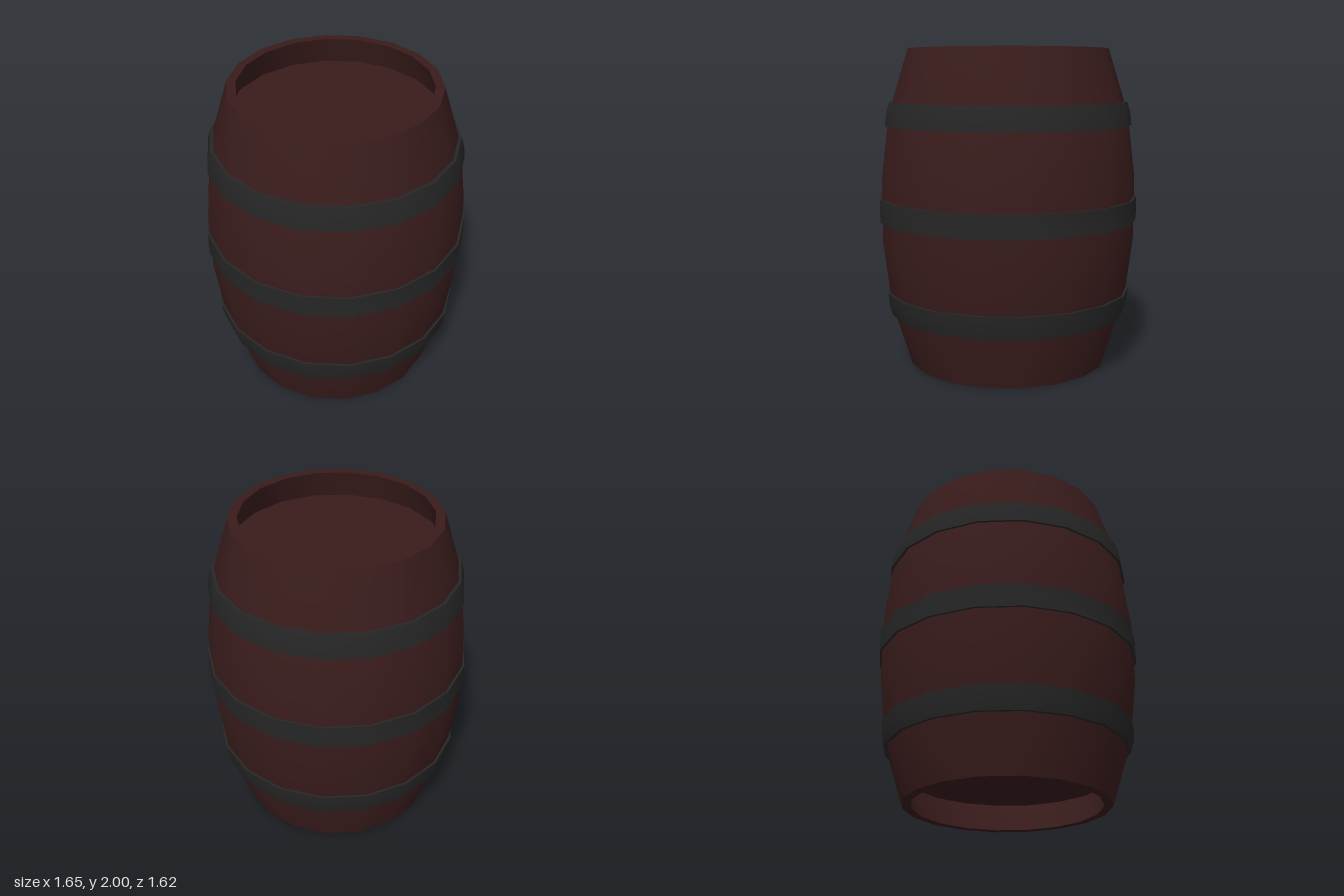
import * as THREE from 'three';
import { toCreasedNormals } from 'three/addons/utils/BufferGeometryUtils.js';

const SIDES = 18;
const HEIGHT = 2;

// Turn a [radius, y] profile (running upward on the outside) with a corner on the x axis
function turned(name, profile, material) {
  const points = profile.map(([r, y]) => new THREE.Vector2(r, y));
  const lathe = new THREE.LatheGeometry(points, SIDES, Math.PI / 2);
  const mesh = new THREE.Mesh(toCreasedNormals(lathe, 0.6), material);
  mesh.name = name;
  return mesh;
}

// Mirror a profile top to bottom, keeping its upward direction
const flipped = (profile) => profile.map(([r, y]) => [r, HEIGHT - y]).reverse();

export function createModel() {
  const wood = new THREE.MeshStandardMaterial({ color: 0x3a1c1c });
  const iron = new THREE.MeshStandardMaterial({ color: 0x262626 });
  const barrel = new THREE.Group();
  barrel.name = 'barrel';

  // Bulging staves with a recessed head at each end
  const half = [
    [0, 0.18], [0.635, 0.18], [0.58, 0],
    [0.635, 0], [0.76, 0.4], [0.81, 0.8],
  ];
  barrel.add(turned('staves', [...half, ...flipped(half)], wood));

  // Hoops follow the bulge, with their inner edges sunk in the wood
  const endHoop = [
    [0.7, 0.33], [0.757, 0.33], [0.777, 0.4], [0.785, 0.475], [0.7, 0.475],
  ];
  const middleHoop = [[0.77, 0.928], [0.825, 0.928], [0.825, 1.072], [0.77, 1.072]];
  barrel.add(
    turned('lowerHoop', endHoop, iron),
    turned('middleHoop', middleHoop, iron),
    turned('upperHoop', flipped(endHoop), iron),
  );
  return barrel;
}
